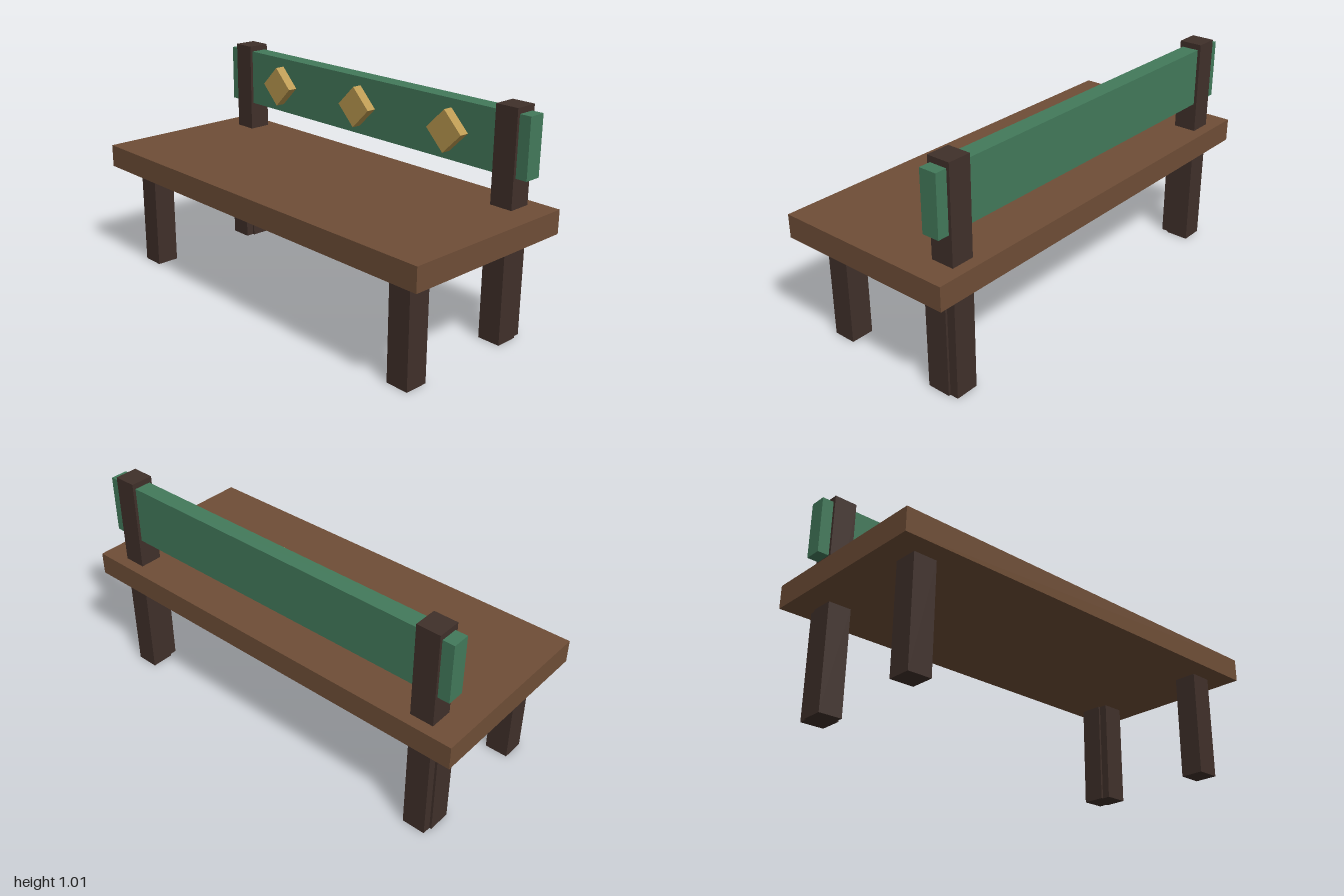
import * as THREE from 'three';

const material = (color) => new THREE.MeshStandardMaterial({ color });

export function createModel() {
  const bench = new THREE.Group();
  bench.name = 'bench';

  const seatWood = material(0x6f4e37);
  const darkWood = material(0x40302a);
  const greenPaint = material(0x437a5b);
  const gold = material(0xbc9a50);

  const addBox = (name, size, position, mat) => {
    const mesh = new THREE.Mesh(new THREE.BoxGeometry(...size), mat);
    mesh.name = name;
    mesh.position.set(...position);
    bench.add(mesh);
    return mesh;
  };

  // Seat slab
  addBox('seat', [2, 0.106, 0.852], [0, 0.535, 0], seatWood);

  // Legs, and back posts running from the ground past the seat
  const t = 0.107;
  for (const [side, s] of [['left', 1], ['right', -1]]) {
    addBox(`${side}FrontLeg`, [t, 0.484, t], [s * 0.836, 0.242, 0.281], darkWood);
    addBox(`${side}BackLeg`, [t, 0.484, t], [s * 0.836, 0.242, -0.281], darkWood);
    addBox(`${side}BackPost`, [t, 1.014, t], [s * 0.826, 0.507, -0.32], darkWood);
  }

  // Backrest board
  addBox('backrest', [1.866, 0.266, 0.08], [0, 0.855, -0.32], greenPaint);

  // Diamond ornaments on the front of the backrest
  for (const x of [-0.534, 0, 0.534]) {
    addBox('diamondOrnament', [0.133, 0.133, 0.053], [x, 0.855, -0.26], gold).rotation.z = Math.PI / 4;
  }

  return bench;
}
